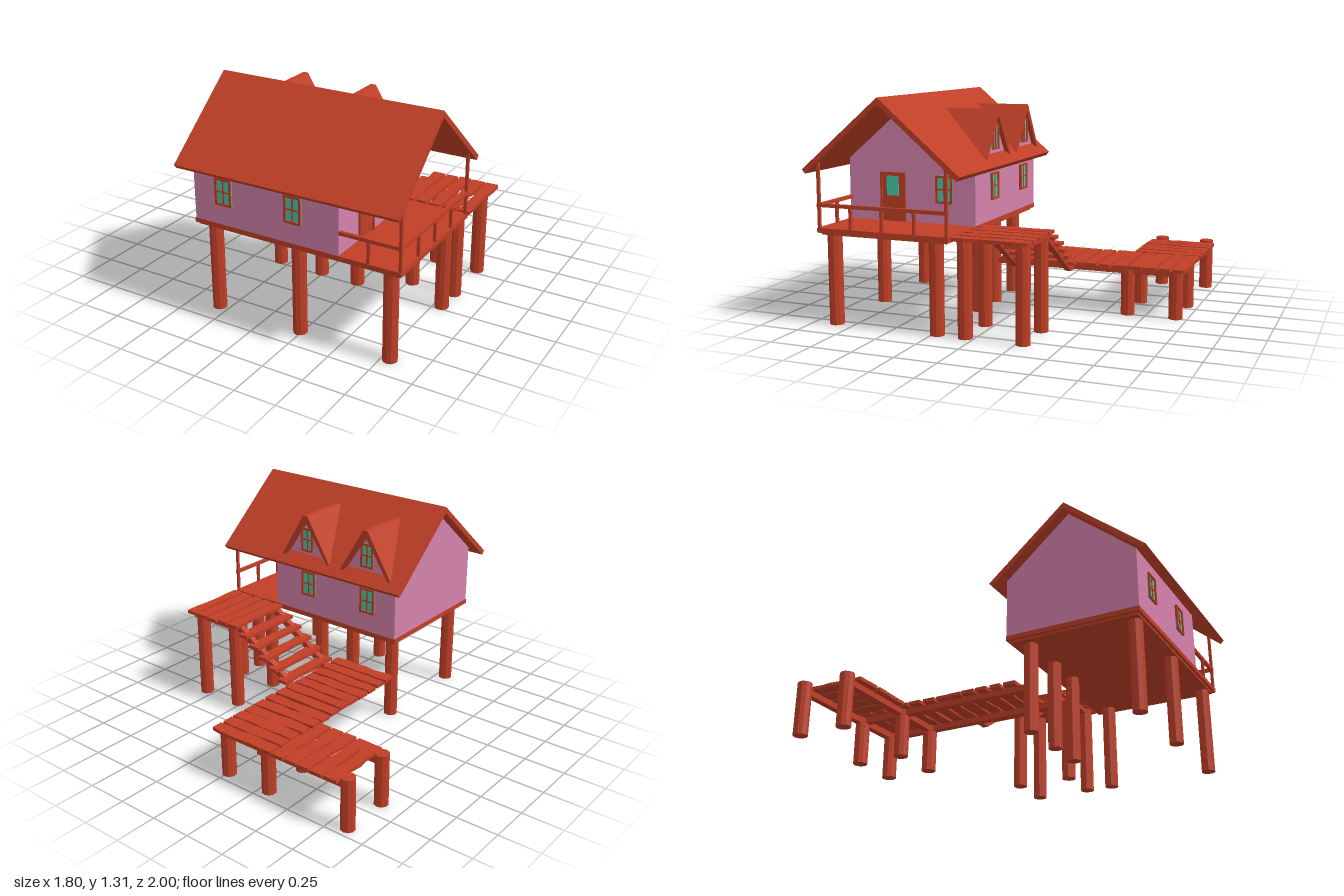
import * as THREE from 'three';

const mat = (color) => new THREE.MeshStandardMaterial({ color, flatShading: true });

export function createModel() {
  const model = new THREE.Group();
  const wood = mat(0xc03f27), pink = mat(0xd582ac), green = mat(0x45cba5);

  let seed = 7;
  const rand = () => (seed = (seed * 16807) % 2147483647) / 2147483647 - 0.5;

  const group = (name, parent = model) => {
    const g = new THREE.Group();
    g.name = name;
    parent.add(g);
    return g;
  };
  const add = (parent, name, geo, material = wood) => {
    const m = new THREE.Mesh(geo, material);
    m.name = name;
    parent.add(m);
    return m;
  };
  // Box given by its limits on each axis
  const box = (parent, name, [x0, x1], [y0, y1], [z0, z1], material) => {
    const m = add(parent, name, new THREE.BoxGeometry(x1 - x0, y1 - y0, z1 - z0), material);
    m.position.set((x0 + x1) / 2, (y0 + y1) / 2, (z0 + z1) / 2);
    return m;
  };
  const extrude = (points, depth) => new THREE.ExtrudeGeometry(
    new THREE.Shape(points.map(([x, y]) => new THREE.Vector2(x, y))), { depth, bevelEnabled: false });
  const pile = (parent, x, z, h) => {
    add(parent, 'pile', new THREE.CylinderGeometry(0.042, 0.042, h, 10)).position.set(x, h / 2, z);
  };
  // Rough-edged plank lying along x, or along z when turned
  const plank = (parent, name, x, y, z, length, width, alongZ = false) => {
    const geo = new THREE.BoxGeometry(length, 0.02, width, 6, 1, 1);
    const p = geo.attributes.position;
    const edge = Array.from({ length: 14 }, () => rand() * 0.014);
    const ends = [rand() * 0.012, rand() * 0.012];
    for (let i = 0; i < p.count; i++) {
      const k = Math.round((p.getX(i) / length + 0.5) * 6);
      p.setZ(i, p.getZ(i) + edge[k + (p.getZ(i) > 0 ? 7 : 0)]);
      if (k === 0) p.setX(i, p.getX(i) + ends[0]);
      if (k === 6) p.setX(i, p.getX(i) + ends[1]);
    }
    const m = add(parent, name, geo);
    m.position.set(x, y, z);
    if (alongZ) m.rotation.y = Math.PI / 2;
  };

  // House walls: gabled block extruded along x
  const house = group('house');
  const gable = [[-0.405, 0.565], [0.405, 0.565], [0.405, 0.93], [0, 1.275], [-0.405, 0.93]];
  const walls = add(house, 'walls', extrude(gable, 0.92).rotateY(Math.PI / 2), pink);
  walls.position.set(-0.4, 0, 0.515);

  // Main roof, overhanging the porch
  const roofLine = [[-0.485, 0.9], [-0.465, 0.877], [0, 1.272], [0.465, 0.877], [0.485, 0.9], [0, 1.31]];
  const roof = add(house, 'roof', extrude(roofLine, 1.37).rotateY(Math.PI / 2));
  roof.position.set(-0.47, 0, 0.515);

  // Floor with a narrower underside
  box(house, 'floor', [-0.405, 0.885], [0.543, 0.57], [0.108, 0.922]);
  box(house, 'floorUnderside', [-0.385, 0.865], [0.53, 0.545], [0.125, 0.905]);

  // Window with frame and cross bars, facing +z before turning
  const addWindow = (x, y, z, turn, w = 0.105, h = 0.16) => {
    const g = group('window', house);
    const t = 0.012, d = [-0.008, 0.014];
    box(g, 'glass', [-w / 2, w / 2], [-h / 2, h / 2], [-0.005, 0.005], green);
    for (const s of [-1, 1]) {
      const fx = s * (w - t) / 2, fy = s * (h - t) / 2;
      box(g, 'frameSide', [fx - t / 2, fx + t / 2], [-h / 2, h / 2], d);
      box(g, 'frameRail', [-w / 2, w / 2], [fy - t / 2, fy + t / 2], d);
    }
    box(g, 'mullion', [-0.004, 0.004], [-h / 2, h / 2], [-0.005, 0.01]);
    box(g, 'crossBar', [-w / 2, w / 2], [-0.004, 0.004], [-0.005, 0.01]);
    g.position.set(x, y, z);
    g.rotation.y = turn;
  };
  for (const x of [-0.2, 0.245]) addWindow(x, 0.77, 0.92, 0);
  for (const x of [-0.2, 0.255]) {
    addWindow(x, 0.77, 0.11, Math.PI);
    addWindow(x, 1.06, 0.104, Math.PI, 0.09, 0.15);
  }
  addWindow(0.52, 0.77, 0.302, Math.PI / 2);

  // Dormers: peaked roofs running back into the main slope
  for (const x of [-0.2, 0.255]) {
    const dormer = group('dormer', house);
    const peak = [[-0.19, 0.935], [-0.165, 0.935], [0, 1.183], [0.165, 0.935], [0.19, 0.935],
      [0.016, 1.22], [-0.016, 1.22]];
    add(dormer, 'dormerRoof', extrude(peak, 0.335)).position.set(x, 0, 0.077);
    const front = [[-0.17, 0.93], [0.17, 0.93], [0, 1.19]];
    add(dormer, 'dormerWall', extrude(front, 0.03), pink).position.set(x, 0, 0.105);
  }

  // Door on the porch side
  const door = group('door', house);
  box(door, 'doorPanel', [0.515, 0.525], [0.57, 0.85], [0.55, 0.71]);
  box(door, 'doorGlass', [0.52, 0.528], [0.72, 0.835], [0.594, 0.672], green);
  for (const z of [0.55, 0.7]) box(door, 'doorJamb', [0.515, 0.533], [0.57, 0.855], [z, z + 0.012]);
  box(door, 'doorLintel', [0.515, 0.533], [0.843, 0.857], [0.55, 0.712]);

  // Porch posts and railing, open towards the deck
  const porch = group('porch');
  for (const z of [0.12, 0.91]) box(porch, 'cornerPost', [0.868, 0.884], [0.57, 0.945], [z - 0.008, z + 0.008]);
  for (const z of [0.315, 0.515, 0.71]) box(porch, 'railPost', [0.868, 0.884], [0.57, 0.7], [z - 0.008, z + 0.008]);
  box(porch, 'railPost', [0.683, 0.7], [0.57, 0.7], [0.902, 0.918]);
  box(porch, 'sideRail', [0.866, 0.886], [0.69, 0.71], [0.11, 0.92]);
  box(porch, 'frontRail', [0.52, 0.886], [0.69, 0.71], [0.9, 0.92]);

  // Piles under the house
  const piles = group('housePiles');
  for (const x of [-0.31, 0.24, 0.8]) for (const z of [0.22, 0.86]) pile(piles, x, z, 0.535);
  pile(piles, -0.01, 0.22, 0.535);

  // Upper deck with the stair, carried on shared stringers
  const deck = group('deckAndStair');
  for (const z of [-0.29, 0.05]) {
    for (const x of [0.525, 0.8]) pile(deck, x, z, 0.55);
    const stringer = [[0, 0.25], [0.07, 0.25], [0.48, 0.52], [0.86, 0.52], [0.86, 0.555],
      [0.46, 0.555], [0.055, 0.285], [0, 0.285]];
    add(deck, 'stringer', extrude(stringer, 0.036)).position.z = z - 0.018;
  }
  for (let i = 0; i < 5; i++) {
    plank(deck, 'stairTread', 0.1 + i * 0.078, 0.31 + i * 0.052, -0.127, 0.435, 0.07, true);
    plank(deck, 'deckPlank', 0.5 + i * 0.087, 0.563, -0.127, 0.435, 0.07, true);
  }

  // Lower dock: a long walkway and a side arm
  const dock = group('dock');
  for (const x of [-0.31, -0.01]) {
    for (const z of [-0.93, -0.64]) pile(dock, x, z, 0.285);
    box(dock, 'walkwayBeam', [x - 0.02, x + 0.02], [0.25, 0.287], [-0.95, 0.2]);
  }
  for (const z of [-0.935, -0.64]) {
    pile(dock, -0.86, z, 0.315);
    box(dock, 'armBeam', [-0.86, 0.01], [0.25, 0.287], [z - 0.02, z + 0.02]);
  }
  for (let i = 0; i < 13; i++) plank(dock, 'walkwayPlank', -0.163, 0.294, -0.955 + i * 0.0885, 0.425, 0.076);
  for (let i = 0; i < 5; i++) plank(dock, 'armPlank', -0.782 + i * 0.0885, 0.294, -0.785, 0.42, 0.075, true);

  return model;
}
